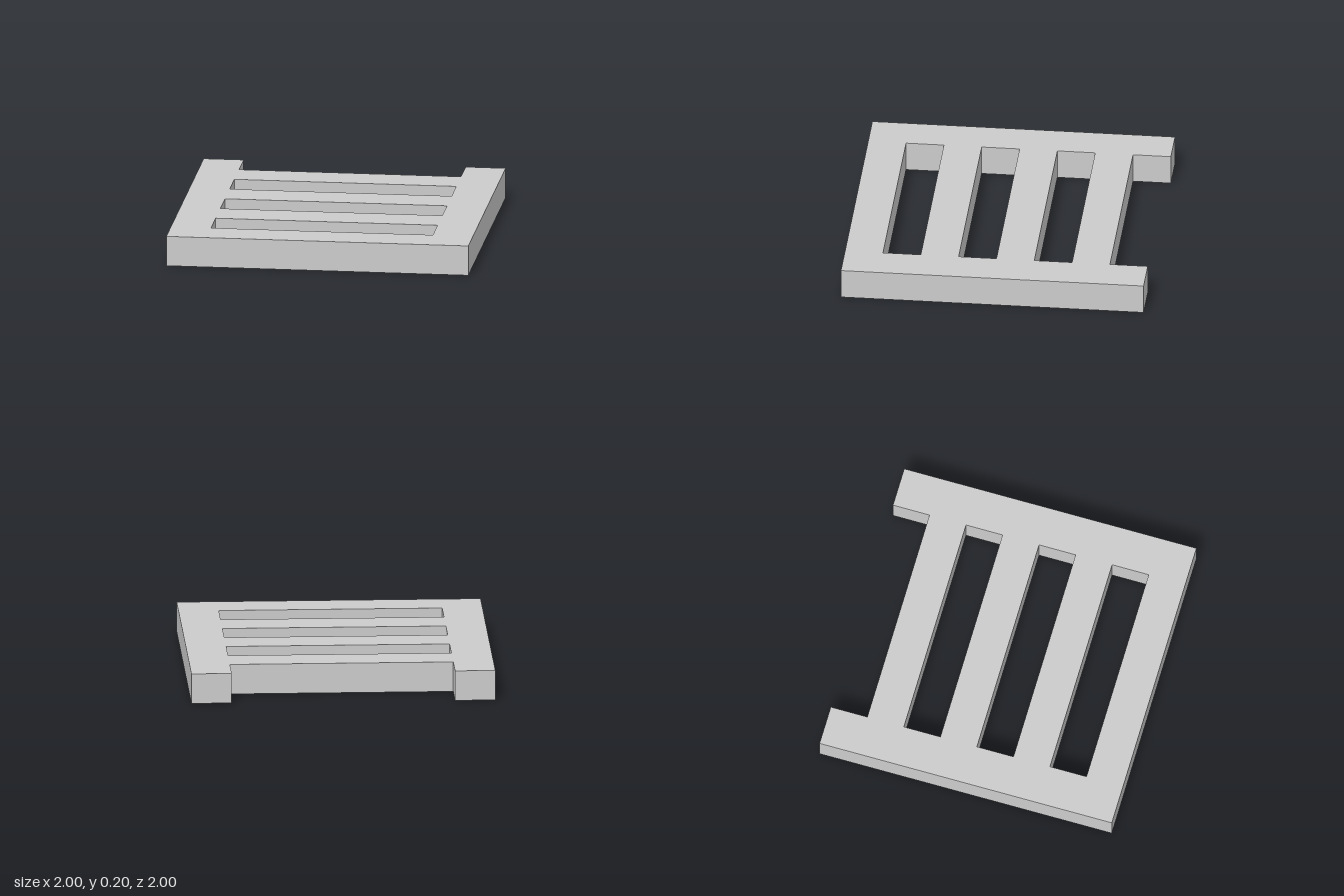
import * as THREE from 'three';

const HALF = 1;         // half the width and depth of the grate
const INNER = 0.735;    // inner edge of the side rails
const PITCH = 0.25;     // depth of each bar and each gap
const THICKNESS = 0.2;

const points = (list) => list.map(([x, y]) => new THREE.Vector2(x, y));

export function createModel() {
  const group = new THREE.Group();
  group.name = 'slottedGrate';

  // Outline drawn in plan (shape y = -z), with the open notch at the back
  const outline = new THREE.Shape(points([
    [-HALF, -HALF], [HALF, -HALF], [HALF, HALF], [INNER, HALF],
    [INNER, HALF - PITCH], [-INNER, HALF - PITCH], [-INNER, HALF], [-HALF, HALF],
  ]));

  // Three closed slots between the crossbars
  for (let i = 0; i < 3; i++) {
    const y0 = -HALF + PITCH * (1 + 2 * i);
    const y1 = y0 + PITCH;
    outline.holes.push(new THREE.Path(points([
      [-INNER, y0], [-INNER, y1], [INNER, y1], [INNER, y0],
    ])));
  }

  // Extrude the plan and lay it flat on the ground
  const geometry = new THREE.ExtrudeGeometry(outline, { depth: THICKNESS, bevelEnabled: false });
  geometry.rotateX(-Math.PI / 2);

  const grate = new THREE.Mesh(
    geometry,
    new THREE.MeshStandardMaterial({ color: 0xcccccc, flatShading: true }),
  );
  grate.name = 'gratePanel';
  group.add(grate);
  return group;
}
